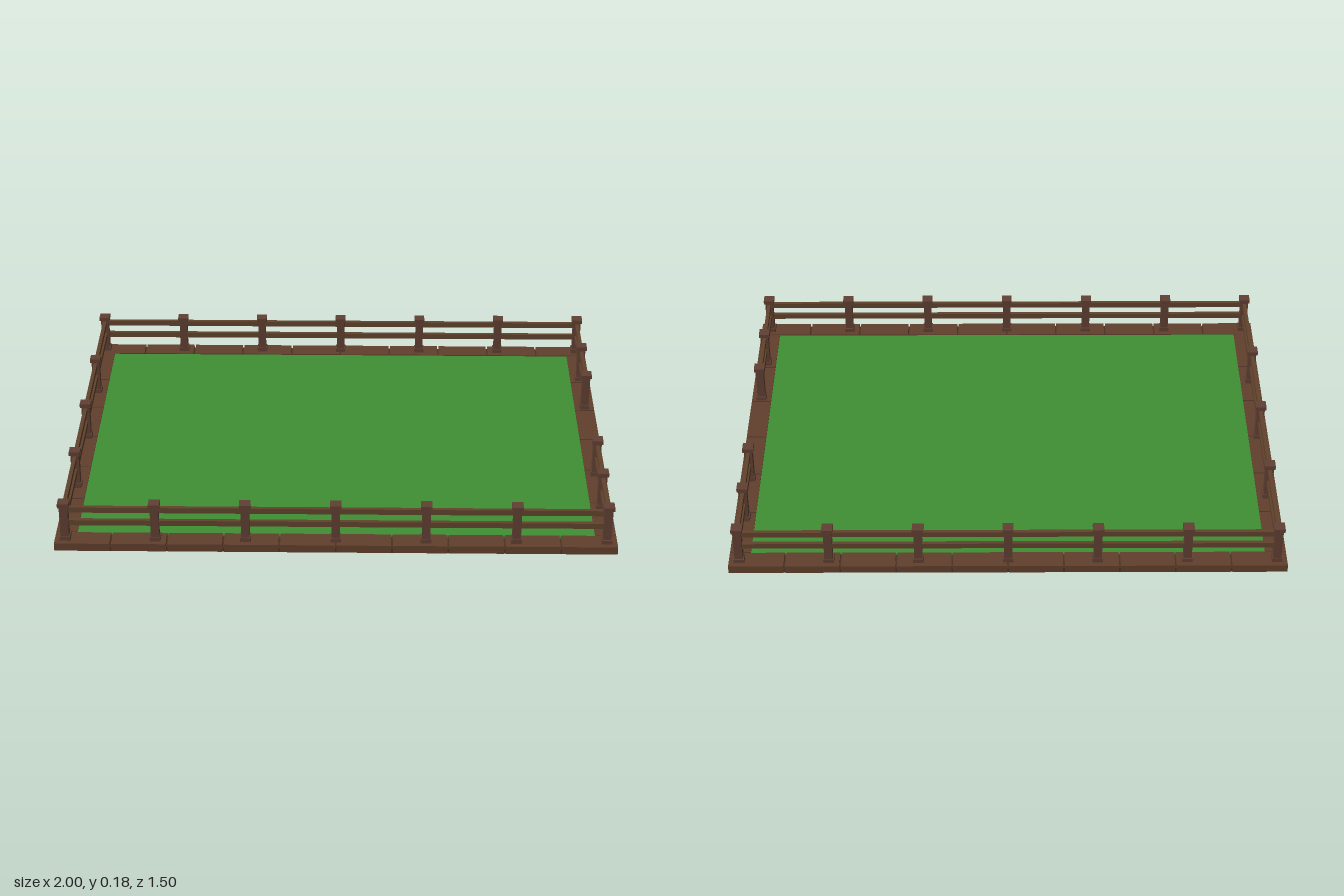
import * as THREE from 'three';

export function createModel() {
  const model = new THREE.Group();
  model.name = 'fencedField';

  const material = (name, color) => {
    const m = new THREE.MeshStandardMaterial({ color });
    m.name = name;
    return m;
  };
  const soil = material('dark soil', 0x4a3222);
  const grass = material('grass green', 0x409035);
  const plankWood = material('plank brown', 0x61402c);
  const postWood = material('post brown', 0x614033);
  const railWood = material('rail brown', 0x61432c);

  // Box given by its size, centre x and z, and bottom height
  const box = (parent, name, mat, [w, h, d], x, y, z) => {
    const mesh = new THREE.Mesh(new THREE.BoxGeometry(w, h, d), mat);
    mesh.name = name;
    mesh.position.set(x, y + h / 2, z);
    parent.add(mesh);
  };

  // Ground: soil slab with a lawn on top
  box(model, 'soilSlab', soil, [1.998, 0.018, 1.498], 0, 0, 0);
  box(model, 'lawn', grass, [1.85, 0.008, 1.35], 0, 0.018, 0);

  // Border planks with narrow gaps between them
  const border = new THREE.Group();
  border.name = 'border';
  model.add(border);
  const gap = 0.006, rimY = 0.03;
  for (const s of [-1, 1]) {
    for (let i = 0; i < 10; i++)
      box(border, 'longPlank', plankWood, [0.2 - (i % 9 ? gap : gap / 2), rimY, 0.075],
        -0.9 + i * 0.2 + (i === 0 ? -gap / 4 : i === 9 ? gap / 4 : 0), 0, s * 0.7125);
    for (let i = 0; i < 6; i++)
      box(border, 'sidePlank', plankWood, [0.075, rimY, 0.225 - gap],
        s * 0.9625, 0, -0.5625 + i * 0.225);
  }

  // Fence post with foot and cap
  const addPost = (x, z) => {
    const post = new THREE.Group();
    post.name = 'post';
    post.position.set(x, 0, z);
    box(post, 'foot', postWood, [0.038, 0.016, 0.038], 0, rimY, 0);
    box(post, 'shaft', postWood, [0.03, 0.138, 0.03], 0, rimY, 0);
    box(post, 'cap', postWood, [0.04, 0.015, 0.04], 0, 0.167, 0);
    model.add(post);
  };

  // Posts joined by two rails per bay
  const addFence = (points) => {
    points.forEach(([x, z], i) => {
      if (i === 0) return;
      const [px, pz] = points[i - 1];
      const size = [Math.abs(x - px) || 0.014, 0.021, Math.abs(z - pz) || 0.014];
      for (const y of [0.088, 0.141])
        box(model, 'rail', railWood, size, (x + px) / 2, y, (z + pz) / 2);
    });
  };

  const X = 0.9625, Z = 0.7125;
  for (const s of [-1, 1]) {
    // Front and back runs, including the corner posts
    const long = Array.from({ length: 7 }, (_, i) => [-X + (i * X) / 3, s * Z]);
    long.forEach(([x, z]) => addPost(x, z));
    addFence(long);
    // Short runs either side of the open gateway
    const gate = [[X, s * Z], [X, s * 0.481], [X, s * 0.25]];
    gate.slice(1).forEach(([x, z]) => addPost(x, z));
    addFence(gate);
  }
  // Closed side
  const closed = [-1, -0.5, 0, 0.5, 1].map((t) => [-X, t * Z]);
  closed.slice(1, 4).forEach(([x, z]) => addPost(x, z));
  addFence(closed);

  return model;
}
